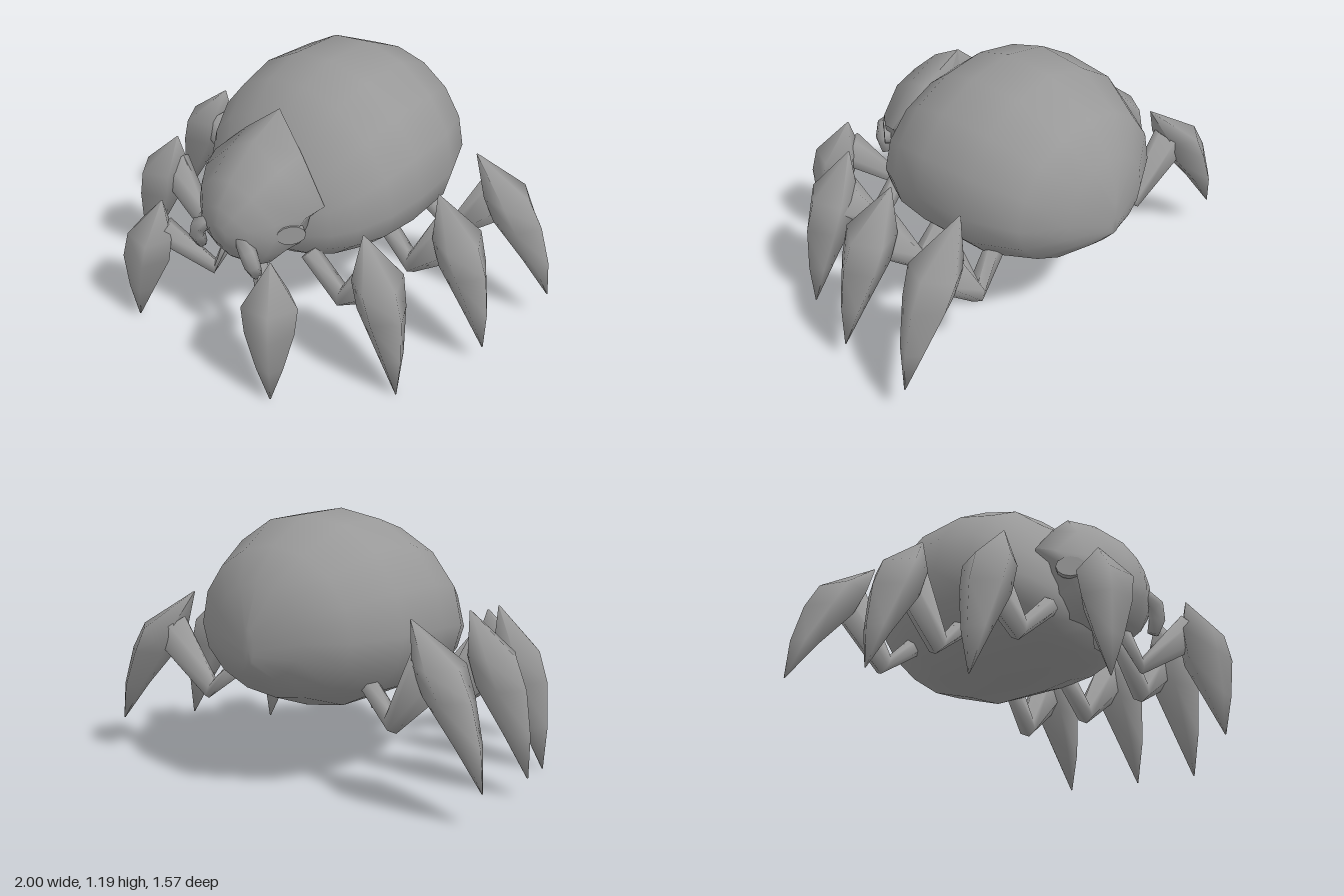
import * as THREE from 'three';
import { toCreasedNormals } from 'three/addons/utils/BufferGeometryUtils.js';

const material = new THREE.MeshStandardMaterial({ color: 0x999999 });

// Skin over closed rings of [x, y, z] points, with both ends closed
function loft(rings) {
  const n = rings[0].length, pos = rings.flat(), idx = [];
  for (let i = 0; i < rings.length - 1; i++)
    for (let j = 0; j < n; j++) {
      const a = i * n + j, b = i * n + (j + 1) % n;
      idx.push(a, b, a + n, b, b + n, a + n);
    }
  const cap = (i, flip) => {
    const c = pos.length;
    pos.push([0, 1, 2].map(k => rings[i].reduce((s, p) => s + p[k], 0) / n));
    for (let j = 0; j < n; j++) {
      const a = i * n + j, b = i * n + (j + 1) % n;
      idx.push(c, ...(flip ? [b, a] : [a, b]));
    }
  };
  cap(0, true);
  cap(rings.length - 1, false);
  // Turn the faces outward whatever way the rings run
  const v = pos.map(p => new THREE.Vector3(...p));
  let volume = 0;
  for (let i = 0; i < idx.length; i += 3)
    volume += v[idx[i]].dot(v[idx[i + 1]].clone().cross(v[idx[i + 2]]));
  if (volume < 0) idx.reverse();
  const g = new THREE.BufferGeometry().setFromPoints(v);
  g.setIndex(idx);
  return toCreasedNormals(g, 1.8);
}

// Tapered limb through points, each [x, y, z, radius, flatness]
function limb(points, sides = 6) {
  const v = points.map(p => new THREE.Vector3(p[0], p[1], p[2]));
  return loft(v.map((p, i) => {
    const t = v[Math.min(i + 1, v.length - 1)].clone().sub(v[Math.max(i - 1, 0)]).normalize();
    const u = new THREE.Vector3(0, 0, 1).cross(t);
    if (u.length() < 0.3) u.set(1, 0, 0).cross(t);
    u.normalize();
    const w = t.clone().cross(u);
    return Array.from({ length: sides }, (_, j) => {
      const a = j / sides * Math.PI * 2, [, , , r, flat = 1] = points[i];
      return p.clone().addScaledVector(u, Math.cos(a) * r).addScaledVector(w, Math.sin(a) * r * flat).toArray();
    });
  }));
}

// Spindle-shaped claw from its top point to its foot point
function claw(top, foot) {
  const dx = foot[0] - top[0], dz = foot[2] - top[2], d = Math.hypot(dx, dz);
  const rx = dx / d, rz = dz / d;
  // height fraction, outward fraction, outward half depth, half width
  const profile = [[0, 0, 0.004, 0.004], [0.26, 0.41, 0.108, 0.122], [0.45, 0.56, 0.115, 0.108],
    [0.73, 0.82, 0.062, 0.06], [1, 1, 0.003, 0.003]];
  return loft(profile.map(([h, f, depth, width]) =>
    Array.from({ length: 5 }, (_, j) => {
      const a = j / 5 * Math.PI * 2;
      const r = f * d + Math.cos(a) * depth, t = Math.sin(a) * width * 1.05;
      return [top[0] + rx * r - rz * t, top[1] + (foot[1] - top[1]) * h, top[2] + rz * r + rx * t];
    })));
}

export function createModel() {
  const model = new THREE.Group();
  const add = (geometry, name, parent = model) => {
    const mesh = new THREE.Mesh(geometry, material);
    mesh.name = name;
    parent.add(mesh);
    return mesh;
  };

  // Round abdomen, widest below mid height: z, top, bottom, half width
  const body = [[-0.78, 0.74, 0.58, 0.03], [-0.72, 0.925, 0.51, 0.23], [-0.605, 1.07, 0.41, 0.41],
    [-0.38, 1.185, 0.33, 0.52], [-0.12, 1.19, 0.33, 0.55], [0.06, 1.13, 0.345, 0.53],
    [0.2, 1.01, 0.375, 0.46], [0.28, 0.9, 0.4, 0.37], [0.36, 0.78, 0.45, 0.24]];
  add(loft(body.map(([z, top, bottom, w]) => {
    const mid = bottom + (top - bottom) * 0.43;
    return Array.from({ length: 16 }, (_, j) => {
      const c = Math.cos(j / 16 * Math.PI * 2), s = Math.sin(j / 16 * Math.PI * 2);
      return [s * w, mid + c * (c > 0 ? top - mid : mid - bottom), z];
    });
  })), 'abdomen');

  // Head shield: half contours from crest to chin, mirrored into rings
  const rim = [[0, 1.085, 0.21], [0.17, 0.94, 0.25], [0.34, 0.765, 0.29], [0.29, 0.71, 0.33],
    [0.25, 0.56, 0.33], [0.16, 0.47, 0.33], [0, 0.45, 0.32]];
  const head = [
    rim.map(([x, y]) => [x * 0.65, 0.7 + (y - 0.7) * 0.65, 0.2]),
    rim,
    [[0, 0.995, 0.37], [0.15, 0.9, 0.38], [0.31, 0.735, 0.38], [0.275, 0.66, 0.41],
      [0.235, 0.55, 0.43], [0.16, 0.46, 0.45], [0, 0.45, 0.45]],
    [[0, 0.855, 0.525], [0.12, 0.815, 0.515], [0.23, 0.71, 0.485], [0.235, 0.64, 0.495],
      [0.2, 0.55, 0.51], [0.14, 0.47, 0.51], [0, 0.455, 0.53]],
    [[0, 0.755, 0.595], [0.07, 0.725, 0.585], [0.14, 0.68, 0.565], [0.15, 0.62, 0.565],
      [0.13, 0.55, 0.56], [0.08, 0.49, 0.545], [0, 0.47, 0.545]],
    [[0, 0.67, 0.615], [0.03, 0.66, 0.612], [0.05, 0.64, 0.61], [0.05, 0.61, 0.61],
      [0.04, 0.58, 0.605], [0.02, 0.565, 0.602], [0, 0.56, 0.6]],
  ].map(half => [...half, ...half.slice(1, -1).reverse().map(([x, y, z]) => [-x, y, z])]);
  add(loft(head), 'headShield');

  // Legs of one side: claw top, claw foot, hip, elbow, knee
  const legs = [
    ['frontLeg', [0.34, 0.65, 0.63], [0.43, 0.01, 0.74], [0.09, 0.48, 0.44], [0.15, 0.305, 0.5], [0.34, 0.5, 0.64]],
    ['secondLeg', [0.58, 0.74, 0.31], [0.81, 0.0, 0.335], [0.27, 0.5, 0.31], [0.45, 0.33, 0.29], [0.66, 0.54, 0.28]],
    ['thirdLeg', [0.665, 0.785, -0.09], [0.96, 0.09, -0.09], [0.38, 0.48, -0.1], [0.53, 0.34, -0.1], [0.75, 0.6, -0.09]],
    ['rearLeg', [0.6, 0.795, -0.455], [0.998, 0.15, -0.54], [0.36, 0.48, -0.41], [0.51, 0.345, -0.45], [0.72, 0.61, -0.49]],
  ];
  for (const side of [1, -1]) {
    const label = side > 0 ? 'left' : 'right';
    const mirror = p => [p[0] * side, ...p.slice(1)];
    for (const [name, top, foot, hip, elbow, knee] of legs) {
      const leg = new THREE.Group();
      leg.name = `${label} ${name}`;
      add(claw(mirror(top), mirror(foot)), 'claw', leg);
      const k = name === 'frontLeg' ? 0.75 : 1;
      add(limb([[...hip, 0.045 * k], [...elbow, 0.05 * k], [...knee, 0.115 * k, 0.65]].map(mirror)), 'upperLimb', leg);
      model.add(leg);
    }

    // Flat oval eye set in the side of the head
    const eye = add(new THREE.CylinderGeometry(1, 1, 1, 12).rotateX(Math.PI / 2), `${label} eye`);
    eye.position.set(0.264 * side, 0.655, 0.425);
    eye.scale.set(0.066, 0.048, 0.03);
    eye.rotation.y = side * 0.93;

    // Hooked fang
    add(limb([[0.06, 0.59, 0.53, 0.03], [0.11, 0.61, 0.565, 0.036], [0.155, 0.58, 0.58, 0.04],
      [0.175, 0.52, 0.575, 0.037], [0.175, 0.455, 0.55, 0.026]].map(mirror)), `${label} fang`);
  }
  return model;
}
